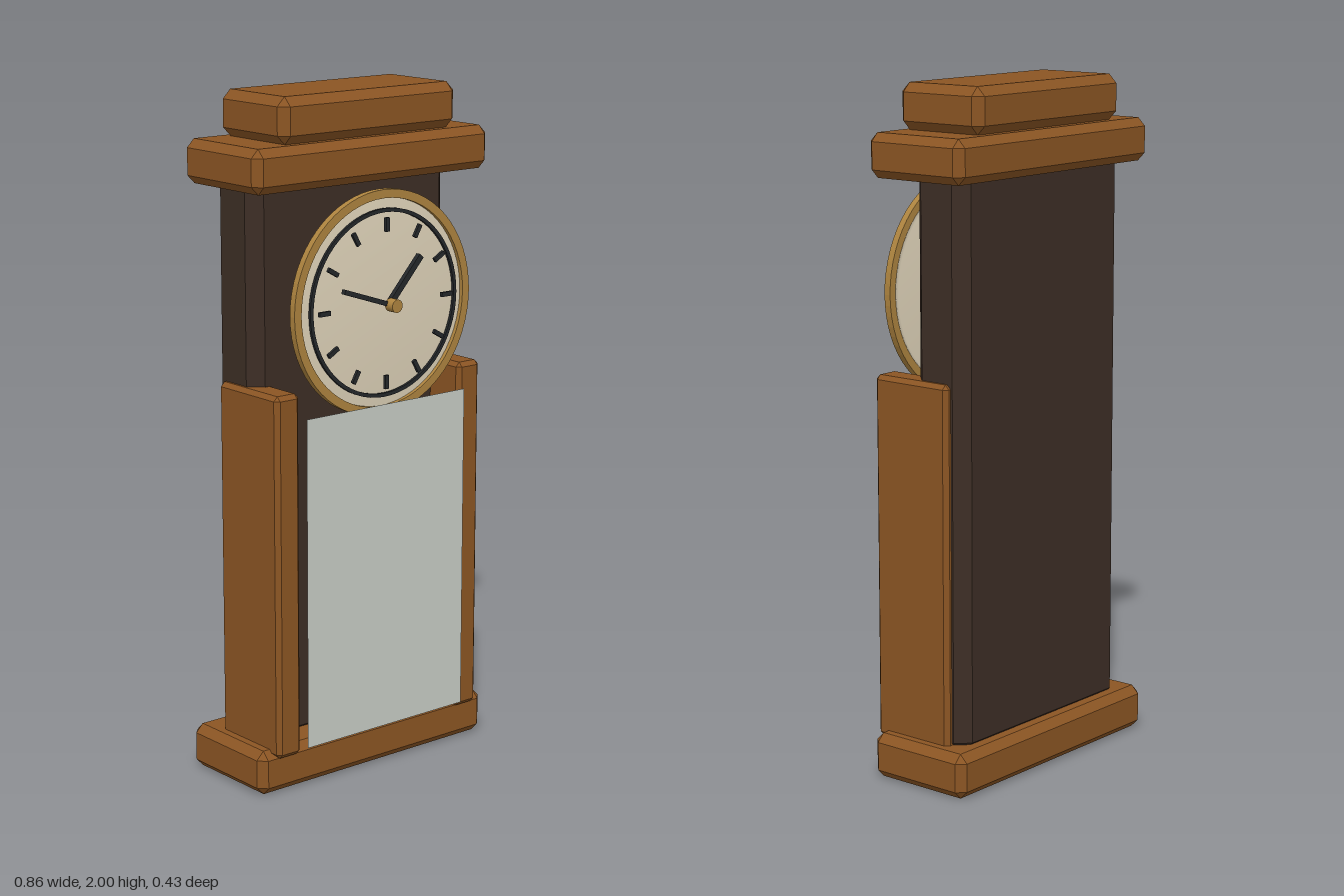
import * as THREE from 'three';
import { ConvexGeometry } from 'three/addons/geometries/ConvexGeometry.js';

const material = (name, color, side = THREE.FrontSide) => {
  const m = new THREE.MeshStandardMaterial({ color, side });
  m.name = name;
  return m;
};

// Box between two corners with every edge cut at 45 degrees
function chamferBox([x0, y0, z0], [x1, y1, z1], c) {
  const h = [(x1 - x0) / 2, (y1 - y0) / 2, (z1 - z0) / 2];
  const points = [];
  for (let axis = 0; axis < 3; axis++)
    for (const sx of [-1, 1]) for (const sy of [-1, 1]) for (const sz of [-1, 1]) {
      const p = [sx, sy, sz].map((s, i) => s * (h[i] - (i === axis ? 0 : c)));
      points.push(new THREE.Vector3(...p));
    }
  return new ConvexGeometry(points).translate((x0 + x1) / 2, (y0 + y1) / 2, (z0 + z1) / 2);
}

// Flat ring facing +z
function ringPlate(outer, inner, depth) {
  const shape = new THREE.Shape().absarc(0, 0, outer, 0, Math.PI * 2, false);
  shape.holes.push(new THREE.Path().absarc(0, 0, inner, 0, Math.PI * 2, true));
  return new THREE.ExtrudeGeometry(shape, { depth, bevelEnabled: false, curveSegments: 32 });
}

export function createModel() {
  const wood = material('warm wood', 0x8b5523);
  const darkWood = material('dark wood', 0x3d2e25);
  const brass = material('brass', 0xae843f);
  const cream = material('cream', 0xe0d4ba);
  const black = material('black', 0x24272a);
  const glass = material('pale glass', 0xc8cdc6, THREE.DoubleSide);

  const model = new THREE.Group();
  model.name = 'longcaseClock';
  const add = (name, geometry, mat, parent = model) => {
    const mesh = new THREE.Mesh(geometry, mat);
    mesh.name = name;
    parent.add(mesh);
    return mesh;
  };

  // Case
  add('base', chamferBox([-0.43, 0, -0.215], [0.43, 0.132, 0.125], 0.024), wood);
  add('body', chamferBox([-0.363, 0.1, -0.167], [0.363, 1.78, 0.02], 0.038), darkWood);
  add('cornice', chamferBox([-0.43, 1.742, -0.215], [0.43, 1.868, 0.125], 0.024), wood);
  add('topBlock', chamferBox([-0.322, 1.868, -0.192], [0.322, 2, 0.105], 0.026), wood);
  for (const s of [-1, 1]) {
    const panel = chamferBox([-0.043, 0.11, -0.123], [0.043, 1.18, 0.145], 0.013);
    add(s > 0 ? 'leftSidePanel' : 'rightSidePanel', panel.translate(s * 0.34, 0, 0), wood);
  }
  const door = add('glassDoor', new THREE.PlaneGeometry(0.592, 0.975), glass);
  door.position.set(0, 0.622, 0.17);

  // Clock face
  const face = new THREE.Group();
  face.name = 'clockFace';
  face.position.set(0, 1.4, 0);
  model.add(face);

  // Dial disc with softly shaded edge
  const profile = [[0, 0.122], [0.302, 0.122], [0.302, 0.142], [0, 0.142]];
  const dial = new THREE.LatheGeometry(profile.map(p => new THREE.Vector2(...p)), 64);
  add('dial', dial.rotateX(Math.PI / 2), cream, face);
  add('rim', ringPlate(0.325, 0.3, 0.021), brass, face).position.z = 0.133;
  add('minuteTrack', ringPlate(0.272, 0.261, 0.008), black, face).position.z = 0.15;

  // Hour marks
  for (let i = 0; i < 12; i++) {
    const a = (i * Math.PI) / 6;
    const mark = add('hourMark', new THREE.BoxGeometry(0.013, 0.04, 0.009), black, face);
    mark.position.set(Math.sin(a) * 0.227, Math.cos(a) * 0.227, 0.165);
    mark.rotation.z = -a;
  }

  // Hands, each running from the centre to its tip
  const hand = (name, x, y, z, width) => {
    const length = Math.hypot(x, y);
    const geometry = new THREE.BoxGeometry(width, length, 0.015).translate(0, length / 2, 0);
    const mesh = add(name, geometry, black, face);
    mesh.position.z = z;
    mesh.rotation.z = Math.atan2(-x, y);
  };
  hand('hourHand', 0.116, 0.127, 0.175, 0.018);
  hand('minuteHand', -0.172, 0.058, 0.181, 0.014);

  const hub = new THREE.CylinderGeometry(0.019, 0.019, 0.032, 24).rotateX(Math.PI / 2);
  add('hub', hub, brass, face).position.z = 0.196;

  return model;
}
